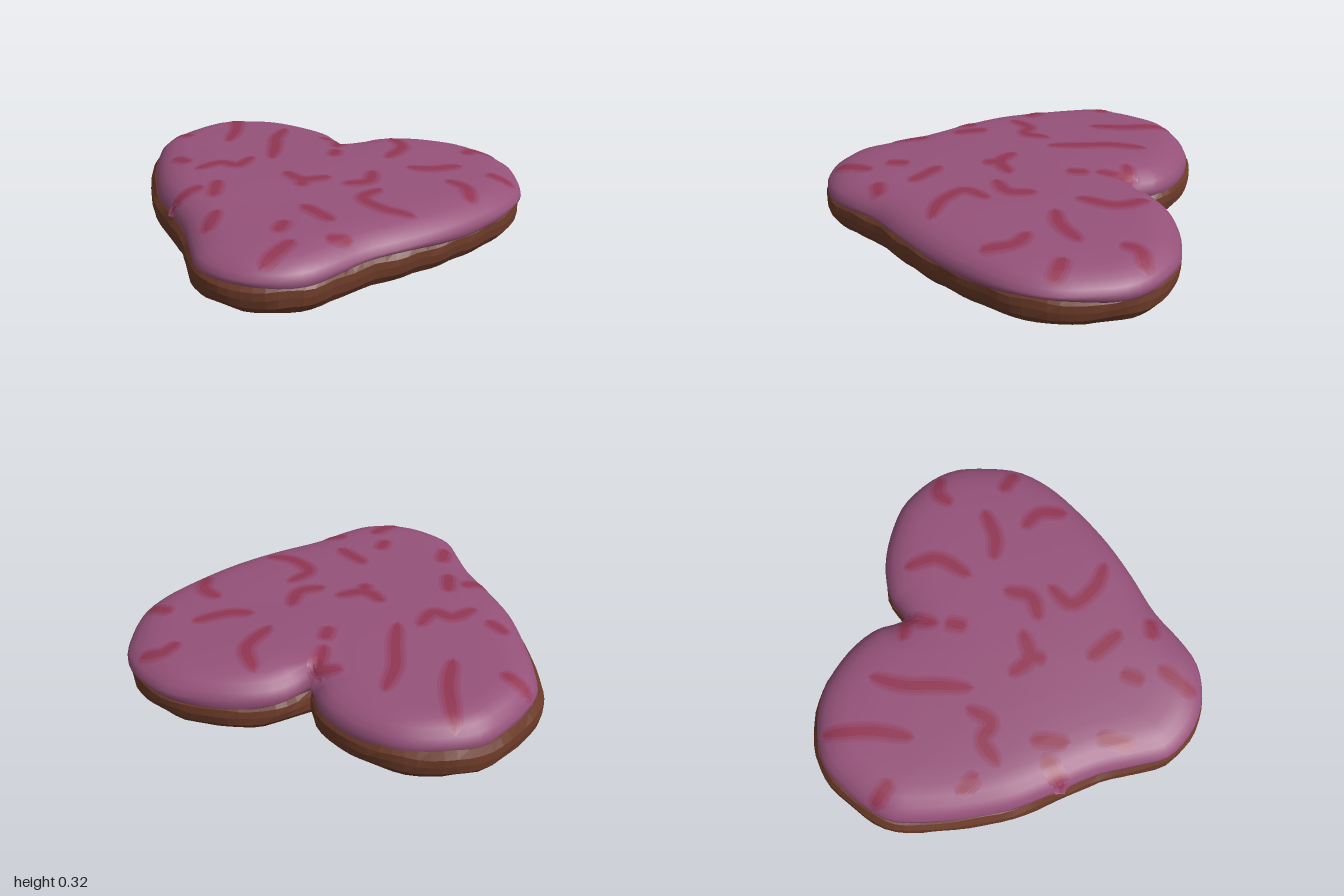
import * as THREE from 'three';

const COUNT = 110;
const CENTRE = new THREE.Vector2(0, 0.05);

// Heart outline (x, z), from the notch around the left lobe to the tip and back
const OUTLINE = [
  [0, -0.66], [0.06, -0.76], [0.15, -0.83], [0.3, -0.89], [0.5, -0.915], [0.62, -0.905],
  [0.8, -0.82], [0.9, -0.72], [0.96, -0.58], [1, -0.4], [0.97, -0.22], [0.88, -0.02],
  [0.76, 0.18], [0.62, 0.36], [0.47, 0.53], [0.38, 0.68], [0.3, 0.79], [0.22, 0.85],
  [0.1, 0.895], [0, 0.905], [-0.12, 0.885], [-0.25, 0.82], [-0.35, 0.68], [-0.45, 0.53],
  [-0.6, 0.37], [-0.75, 0.2], [-0.87, 0], [-0.95, -0.17], [-1, -0.33], [-0.98, -0.48],
  [-0.93, -0.62], [-0.85, -0.76], [-0.7, -0.86], [-0.5, -0.915], [-0.3, -0.89],
  [-0.15, -0.83], [-0.06, -0.76], [0, -0.66],
];

// Red marks on the icing, each a short path of (x, z) points
const STREAKS = [
  [[-0.7, -0.77], [-0.66, -0.68], [-0.61, -0.55], [-0.58, -0.38]],
  [[-0.36, -0.66], [-0.35, -0.5], [-0.3, -0.35], [-0.26, -0.2]],
  [[-0.12, -0.6], [-0.03, -0.61], [0, -0.48]],
  [[0.02, -0.41], [0.03, -0.34]],
  [[0.24, -0.72], [0.33, -0.6], [0.3, -0.42]],
  [[0.66, -0.66], [0.69, -0.73], [0.78, -0.76]],
  [[0.44, -0.33], [0.54, -0.36], [0.66, -0.46]],
  [[0.83, -0.42], [0.94, -0.4]],
  [[0.66, -0.24], [0.75, -0.2], [0.8, -0.08]],
  [[0.2, -0.01], [0.29, -0.08], [0.28, -0.2]],
  [[-0.12, -0.03], [-0.02, 0.02], [0.09, -0.05]],
  [[-0.02, 0], [0, 0.08]],
  [[0.37, 0], [0.32, 0.12], [0.44, 0.2], [0.58, 0.21]],
  [[0.09, 0.3], [0.25, 0.39]],
  [[-0.56, 0.05], [-0.48, -0.05], [-0.39, -0.04], [-0.36, -0.16]],
  [[-0.4, 0.18], [-0.36, 0.32]],
  [[-0.46, 0.26], [-0.55, 0.37]],
  [[0.15, 0.64], [0.09, 0.82]],
  [[-0.74, -0.06], [-0.66, -0.02]],
  [[-0.93, -0.42], [-0.82, -0.39]],
  [[-0.28, 0.47], [-0.26, 0.62]],
  [[0.06, 0.48], [0.06, 0.56]],
  [[0.3, 0.55], [0.37, 0.52]],
];

function heartPoints() {
  const curve = new THREE.CatmullRomCurve3(
    OUTLINE.map(([x, z]) => new THREE.Vector3(x, 0, z)), false, 'centripetal');
  const pts = curve.getSpacedPoints(COUNT).slice(0, COUNT).map(p => new THREE.Vector2(p.x, p.z));
  return pts.map((p, i) => {
    const t = pts[(i + 1) % COUNT].clone().sub(pts[(i + COUNT - 1) % COUNT]).normalize();
    return { p, inward: new THREE.Vector2(-t.y, t.x) };
  });
}

// Loft rings given as [inset, height, scale towards the centre], from bottom to top
function loft(heart, rings, insetAt, heightAt) {
  const pos = [], index = [];
  rings.forEach(([inset, y, scale = 1], j) => {
    heart.forEach(({ p, inward }) => {
      const q = p.clone().addScaledVector(inward, inset + insetAt(p, y));
      q.sub(CENTRE).multiplyScalar(scale).add(CENTRE);
      pos.push(q.x, heightAt(q.x, q.y, y, j), q.y);
    });
  });
  for (let j = 0; j < rings.length - 1; j++) {
    for (let i = 0; i < COUNT; i++) {
      const k = (i + 1) % COUNT;
      const a = j * COUNT + i, b = j * COUNT + k, c = a + COUNT, d = b + COUNT;
      index.push(a, c, b, b, c, d);
    }
  }
  const g = new THREE.BufferGeometry();
  g.setAttribute('position', new THREE.Float32BufferAttribute(pos, 3));
  g.setIndex(index);
  g.computeVertexNormals();
  return g;
}

// Tapered ribbon laid on the icing, lifted slightly above it
function ribbon(path, width, lift, surfaceY) {
  const pts = path.map(([x, z]) => new THREE.Vector3(x, 0, z));
  const curve = new THREE.CatmullRomCurve3(pts);
  const steps = path.length * 5, across = 4, pos = [], index = [];
  const ext = width * 0.6;
  for (let i = 0; i <= steps; i++) {
    const u = i / steps;
    const p = curve.getPointAt(u), t = curve.getTangentAt(u);
    p.addScaledVector(t, (u - 0.5) * 2 * ext);
    const half = width * Math.sqrt(Math.max(0, 1 - (2 * u - 1) ** 4));
    for (let k = 0; k <= across; k++) {
      const s = half * (2 * k / across - 1);
      const x = p.x - t.z * s, z = p.z + t.x * s;
      pos.push(x, surfaceY(x, z) + lift, z);
    }
  }
  const row = across + 1;
  for (let i = 0; i < steps; i++) {
    for (let k = 0; k < across; k++) {
      const a = i * row + k;
      index.push(a, a + 1, a + row, a + 1, a + row + 1, a + row);
    }
  }
  const g = new THREE.BufferGeometry();
  g.setAttribute('position', new THREE.Float32BufferAttribute(pos, 3));
  g.setIndex(index);
  g.computeVertexNormals();
  // Ribbons lie on the top, so their normals must point up
  if (g.attributes.normal.getY(row * 2 + 2) < 0) {
    g.setIndex(index.reverse());
    g.computeVertexNormals();
  }
  return g;
}

export function createModel() {
  const group = new THREE.Group();
  const heart = heartPoints();
  const add = (name, geometry, color, extra = {}, parent = group) => {
    const mesh = new THREE.Mesh(geometry, new THREE.MeshStandardMaterial({ color, ...extra }));
    mesh.name = name;
    parent.add(mesh);
    return mesh;
  };

  // Baked base with slightly uneven faceted sides
  const bump = (x, z, y) => 0.006 * Math.sin(13 * x + 9 * z + 25 * y) + 0.005 * Math.sin(21 * z - 17 * x);
  add('biscuitBase', loft(heart, [
    [0.16, 0.008, 0.001], [0.16, 0.008, 0.5], [0.16, 0.01], [0.09, 0.022], [0.035, 0.048],
    [0.006, 0.085], [0, 0.125], [0.004, 0.16], [0.025, 0.19], [0.08, 0.2], [0.16, 0.2, 0.001],
  ], (p, y) => 0.006 + 0.006 * p.x + Math.abs(bump(p.x, p.y, y)) * 0.7,
  (x, z, y) => Math.max(0, y + bump(x, z, y) * (y > 0.03 ? 0.7 : 0.25))), 0x6b3a28, { flatShading: true });

  // Icing with a wavy lower rim and a gently sloping top
  const rim = (x, z) => 0.02 * Math.cos(7 * z + 2.6) + 0.012 * Math.cos(9 * x);
  const slope = (x, z) => 0.032 * Math.max(0, x) ** 2 + 0.045 * Math.max(0, z) ** 2
    + 0.016 * Math.min(0, z) ** 2 + 0.004 * Math.sin(5 * x + 4 * z);
  const icing = add('icing', loft(heart, [
    [0.09, 0.185], [0.02, 0.172], [0.004, 0.19], [0.006, 0.215], [0.022, 0.252], [0.055, 0.283],
    [0.1, 0.303], [0.16, 0.313], [0.16, 0.317, 0.85], [0.16, 0.319, 0.65], [0.16, 0.32, 0.45],
    [0.16, 0.32, 0.2], [0.16, 0.32, 0.001],
  ], p => 0.016 - 0.016 * p.x,
  (x, z, y, j) => j < 3 ? y + rim(x, z) * (j === 2 ? 0.5 : 1)
    : y - slope(x, z) * Math.min(1, (y - 0.19) / 0.1)), 0x96527a);

  // Height of the icing, found by casting straight down
  icing.updateMatrixWorld(true);
  const ray = new THREE.Raycaster();
  const down = new THREE.Vector3(0, -1, 0);
  const surfaceY = (x, z) => {
    ray.set(new THREE.Vector3(x, 1, z), down);
    const hit = ray.intersectObject(icing)[0];
    return hit ? hit.point.y : 0.2;
  };

  // Soft red streaks: stacked ribbons that redden towards the middle
  const streaks = new THREE.Group();
  streaks.name = 'streaks';
  group.add(streaks);
  const layers = [[0.05, 0.002, 0x954a6f], [0.037, 0.0035, 0x944163], [0.022, 0.005, 0x923653]];
  STREAKS.forEach((path, i) => layers.forEach(([width, lift, color]) =>
    add(`streak${i + 1}`, ribbon(path, width, lift, surfaceY), color, {}, streaks)));

  return group;
}
